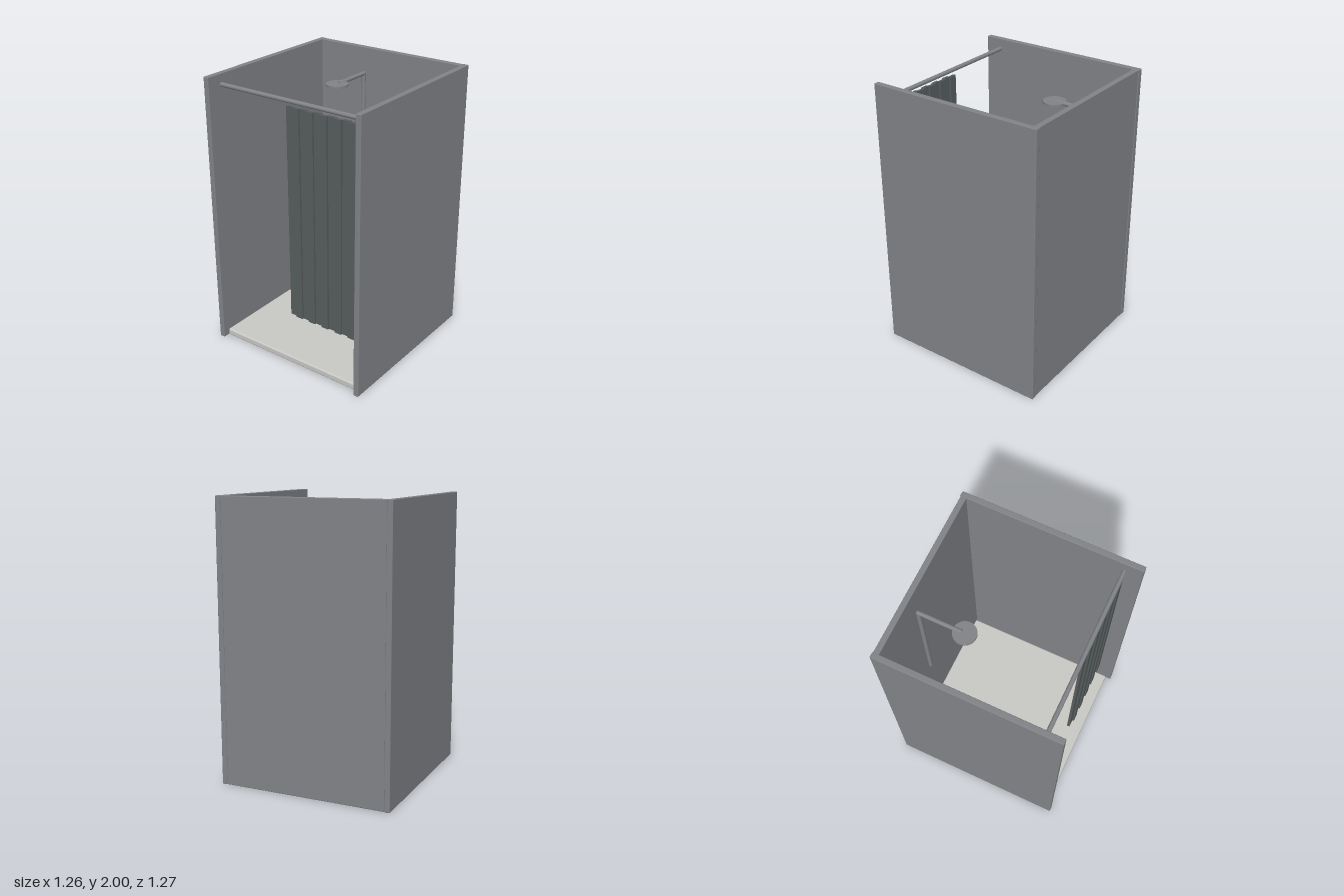
import * as THREE from 'three';
import { RoundedBoxGeometry } from 'three/addons/geometries/RoundedBoxGeometry.js';

export function createModel() {
  const group = new THREE.Group();
  const material = (name, color) => {
    const m = new THREE.MeshStandardMaterial({ color });
    m.name = name;
    return m;
  };
  const grey = material('wall grey', 0x828387);
  const white = material('tray white', 0xc8c8c5);
  const slate = material('curtain slate', 0x575d5f);

  const add = (name, geometry, mat, x, y, z) => {
    const mesh = new THREE.Mesh(geometry, mat);
    mesh.name = name;
    mesh.position.set(x, y, z);
    group.add(mesh);
    return mesh;
  };

  // Enclosure: two side walls and a back wall, open at the front
  for (const [side, name] of [[1, 'leftWall'], [-1, 'rightWall']]) {
    add(name, new RoundedBoxGeometry(0.04, 2, 1.27, 2, 0.005), grey, side * 0.609, 1, 0);
  }
  add('backWall', new RoundedBoxGeometry(1.19, 2, 0.04, 2, 0.005), grey, 0, 1, -0.61);

  // Floor tray with softened edges, and the drain plate
  add('tray', new RoundedBoxGeometry(1.162, 0.05, 1.19, 3, 0.012), white, -0.002, 0.031, 0);
  add('drain', new THREE.BoxGeometry(0.126, 0.02, 0.126), grey, -0.274, 0.06, -0.276);

  // Curtain rail
  const rail = add('curtainRail', new THREE.CylinderGeometry(0.015, 0.015, 1.164, 24), grey, -0.002, 1.926, 0.515);
  rail.rotation.z = Math.PI / 2;

  // Curtain: upright strips stepping back and forth
  const strips = 11, left = -0.033, width = 0.608 / strips;
  for (let i = 0; i < strips; i++) {
    add('curtainFold', new THREE.BoxGeometry(width, 1.535, 0.02), slate,
      left + (i + 0.5) * width, 1.1225, i % 2 ? 0.52 : 0.507);
  }

  // Shower: riser pipe, rounded elbow, arm and round head
  const px = -0.184, r = 0.015;
  add('riserPipe', new THREE.CylinderGeometry(r, r, 0.945, 20), grey, px, 1.3425, -0.557);
  add('elbow', new THREE.SphereGeometry(r, 20, 12), grey, px, 1.815, -0.557);
  const arm = add('showerArm', new THREE.CylinderGeometry(r, r, 0.307, 20), grey, px, 1.815, -0.4035);
  arm.rotation.x = Math.PI / 2;
  add('showerHead', new THREE.CylinderGeometry(0.08, 0.08, 0.015, 48), grey, px, 1.812, -0.23);

  return group;
}
